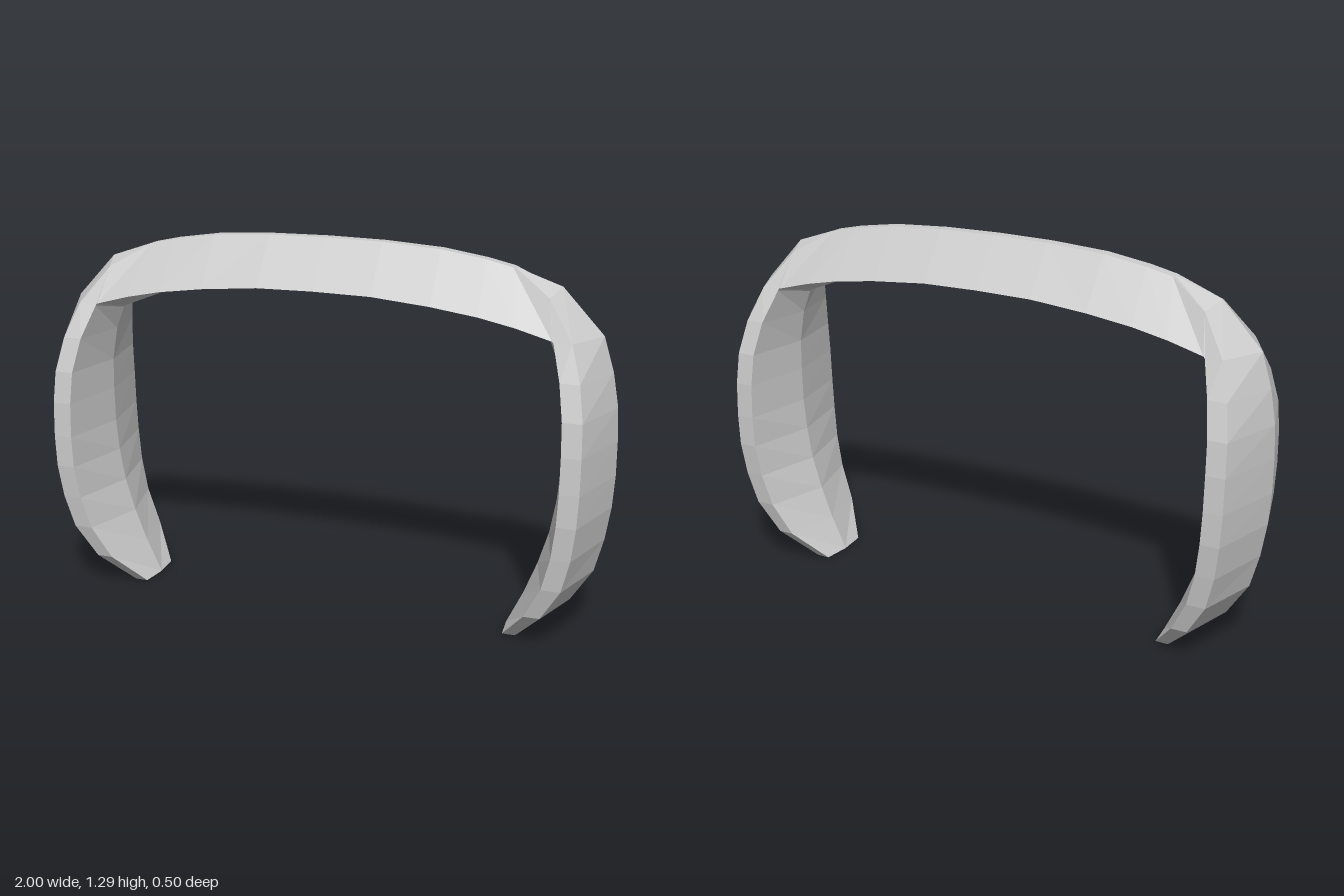
import * as THREE from 'three';

// Leg sections: height, outer ridge x, outer edge x, inner edge x, inner ridge x, half width
const LEG = [
  [0, 0.72, 0.71, 0.665, 0.655, 0.10],
  [0.115, 0.87, 0.81, 0.755, 0.71, 0.195],
  [0.23, 0.945, 0.88, 0.815, 0.755, 0.225],
  [0.345, 0.975, 0.91, 0.845, 0.79, 0.24],
  [0.46, 0.993, 0.925, 0.86, 0.81, 0.25],
  [0.57, 1, 0.93, 0.865, 0.82, 0.25],
  [0.69, 1, 0.93, 0.865, 0.822, 0.245],
  [0.80, 0.995, 0.925, 0.86, 0.82, 0.23],
  [0.915, 0.975, 0.905, 0.84, 0.80, 0.195],
];

// Corner and bar sections: outer ridge xy, outer edge xyz, inner edge xy, inner ridge xy
const BAR = [
  [0.94, 1.03, 0.865, 1.03, 0.145, 0.805, 1.025, 0.768, 0.995],
  [0.80, 1.18, 0.775, 1.155, 0.08, 0.80, 1.032, 0.76, 1.002],
  [0.64, 1.235, 0.64, 1.235, 0.02, 0.68, 1.065, 0.60, 1.065],
  [0.55, 1.255, 0.55, 1.255, 0.02, 0.56, 1.09, 0.50, 1.085],
  [0.40, 1.278, 0.40, 1.278, 0.02, 0.40, 1.112, 0.36, 1.11],
  [0.20, 1.29, 0.20, 1.29, 0.02, 0.20, 1.13, 0.20, 1.128],
  [0, 1.293, 0, 1.293, 0.02, 0, 1.133, 0, 1.133],
];

// Six-sided ring: outer ridge, front edges, inner ridge, back edges
function ring(o, e, i, n) {
  return [o, e, i, n, [i[0], i[1], -i[2]], [e[0], e[1], -e[2]]];
}

function bandGeometry() {
  const half = [
    ...LEG.map(([y, o, e, i, n, w]) => ring([o, y, 0], [e, y, w], [i, y, w], [n, y, 0])),
    ...BAR.map(([ox, oy, ex, ey, ez, ix, iy, nx, ny]) =>
      ring([ox, oy, 0], [ex, ey, ez], [ix, iy, 0.14], [nx, ny, 0])),
  ];
  const mid = half.length - 1;
  const mirrored = half.slice(0, mid).reverse().map(r => r.map(([x, y, z]) => [-x, y, z]));
  const rings = [...half, ...mirrored];
  const last = rings.length - 1;
  const pos = [];
  const tri = (...corners) => corners.forEach(p => pos.push(...p));

  // Skin between rings, with diagonals mirrored on both axes
  for (let r = 0; r < last; r++) {
    for (let k = 0; k < 6; k++) {
      const k2 = (k + 1) % 6;
      const a = rings[r][k], b = rings[r][k2], c = rings[r + 1][k2], d = rings[r + 1][k];
      if ((r < mid) === (k < 3)) {
        tri(a, d, b);
        tri(b, d, c);
      } else {
        tri(a, d, c);
        tri(a, c, b);
      }
    }
  }
  // Flat feet
  for (let k = 1; k < 5; k++) {
    tri(rings[0][0], rings[0][k], rings[0][k + 1]);
    tri(rings[last][0], rings[last][k + 1], rings[last][k]);
  }

  const geometry = new THREE.BufferGeometry();
  geometry.setAttribute('position', new THREE.Float32BufferAttribute(pos, 3));
  geometry.computeVertexNormals();
  return geometry;
}

export function createModel() {
  const group = new THREE.Group();
  group.name = 'openBand';
  const material = new THREE.MeshStandardMaterial({ color: 0xcccccc, flatShading: true });
  const band = new THREE.Mesh(bandGeometry(), material);
  band.name = 'band';
  group.add(band);
  return group;
}
